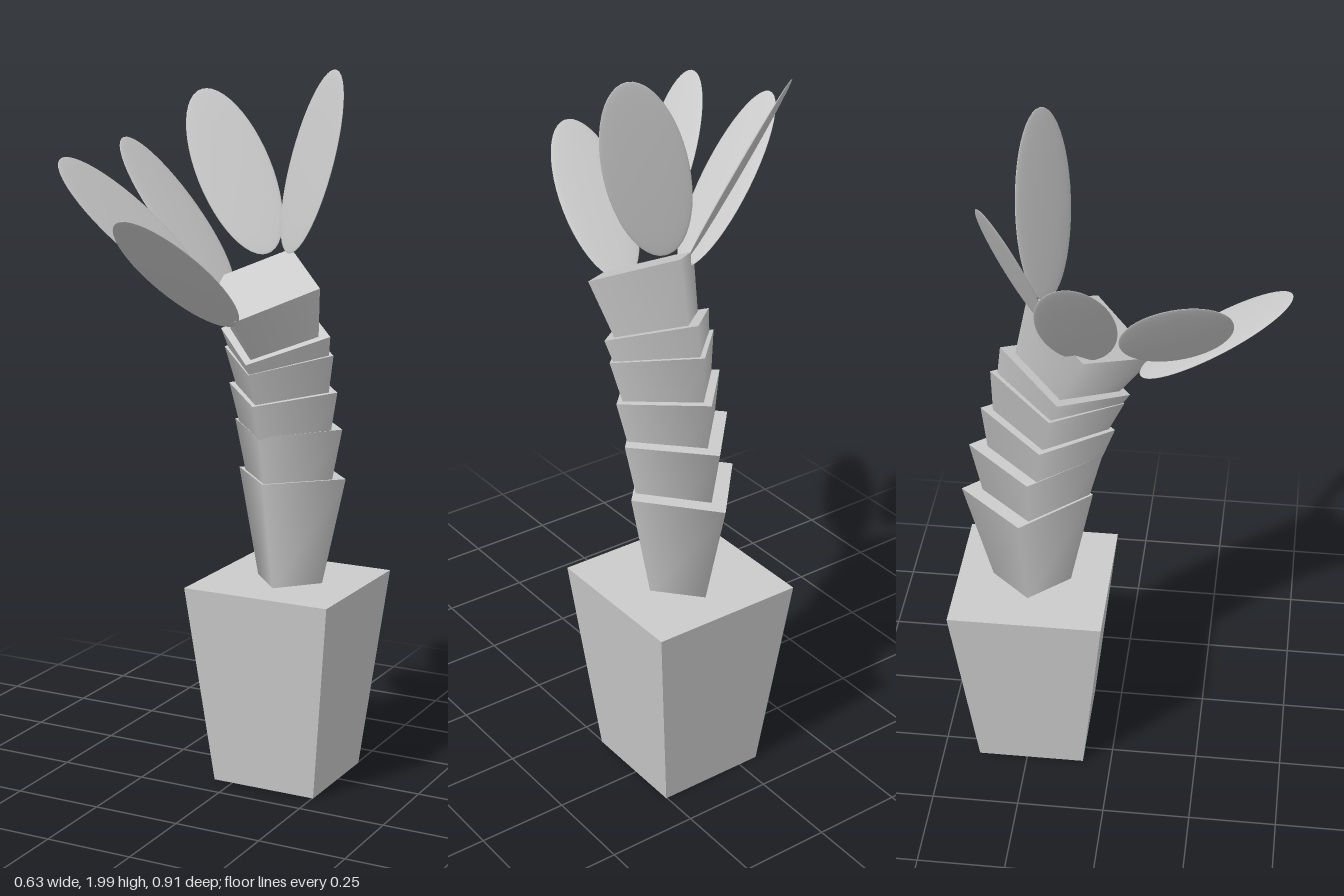
import * as THREE from 'three';

export function createModel() {
  const group = new THREE.Group();
  const material = new THREE.MeshStandardMaterial({ color: 0xcccccc });
  const flat = new THREE.MeshStandardMaterial({ color: 0xcccccc, flatShading: true });

  // Square tapered pot
  const potGeometry = new THREE.CylinderGeometry(0.2175 * Math.SQRT2, 0.155 * Math.SQRT2, 0.575, 4);
  potGeometry.rotateY(Math.PI / 4);
  const pot = new THREE.Mesh(potGeometry, flat);
  pot.name = 'pot';
  pot.position.set(0.0975, 0.2875, -0.2375);
  group.add(pot);

  // Trunk: nested four-sided cups leaning forward; [rim y, rim z, tilt in degrees]
  const trunk = new THREE.Group();
  trunk.name = 'trunk';
  const cupGeometry = new THREE.CylinderGeometry(0.165, 0.097, 0.32, 4);
  cupGeometry.translate(0, -0.16, 0);
  cupGeometry.scale(1, 1, 1.12);
  const cups = [
    [0.88, -0.251, -1.5], [1.025, -0.224, 1.5], [1.134, -0.188, 7],
    [1.24, -0.16, 12], [1.294, -0.138, 20], [1.433, -0.069, 25],
  ];
  cups.forEach(([y, z, tilt], i) => {
    const cup = new THREE.Mesh(cupGeometry, material);
    cup.name = `trunkSegment${i + 1}`;
    cup.position.set(0.0985, y, z);
    cup.rotation.x = THREE.MathUtils.degToRad(tilt);
    trunk.add(cup);
  });
  group.add(trunk);

  // Leaves: thin oval discs; centre, long axis and face normal of each
  const leaves = new THREE.Group();
  leaves.name = 'leaves';
  const leafGeometry = new THREE.SphereGeometry(1, 32, 24);
  leafGeometry.scale(0.106, 0.253, 0.006);
  const leafData = [
    [[0.175, 1.75, -0.198], [0.256, 0.966, -0.054], [-0.533, 0.187, 0.825]],
    [[-0.08, 1.715, -0.243], [-0.487, 0.859, -0.158], [0.531, 0.439, 0.726]],
    [[-0.167, 1.61, -0.0735], [-0.604, 0.793, 0.084], [0.796, 0.595, 0.11]],
    [[-0.167, 1.602, 0.172], [-0.577, 0.673, 0.463], [0.795, 0.594, 0.125]],
    [[0.017, 1.49, 0.26], [-0.194, 0.61, 0.768], [0, 0.783, -0.622]],
  ];
  leafData.forEach(([centre, axis, normal], i) => {
    const up = new THREE.Vector3(...axis).normalize();
    const side = new THREE.Vector3().crossVectors(up, new THREE.Vector3(...normal)).normalize();
    const face = new THREE.Vector3().crossVectors(side, up);
    const leaf = new THREE.Mesh(leafGeometry, material);
    leaf.name = `leaf${i + 1}`;
    leaf.position.set(...centre);
    leaf.quaternion.setFromRotationMatrix(new THREE.Matrix4().makeBasis(side, up, face));
    leaves.add(leaf);
  });
  group.add(leaves);

  return group;
}
